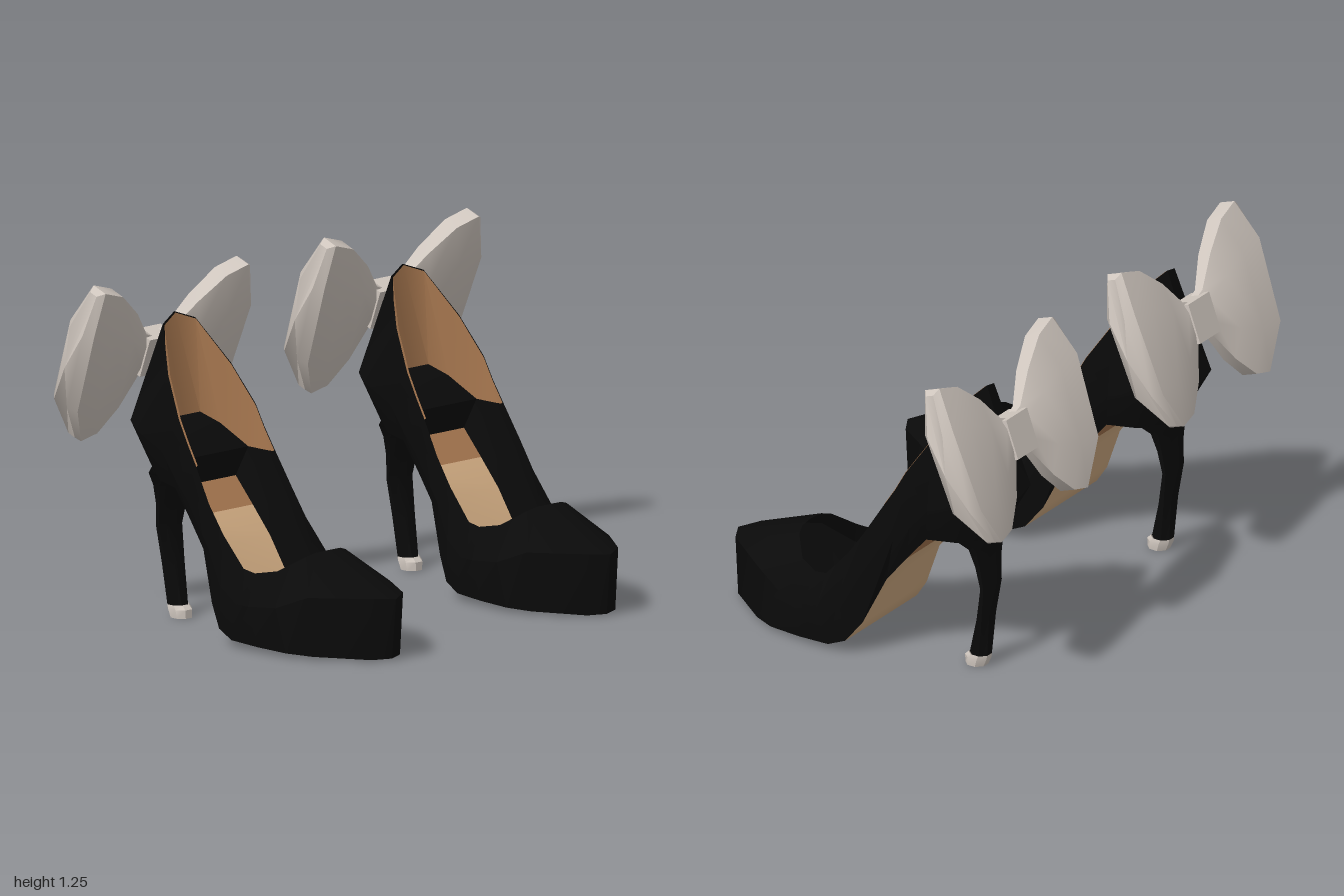
import * as THREE from 'three';
import { toCreasedNormals } from 'three/addons/utils/BufferGeometryUtils.js';

const mat = (name, color) =>
  Object.assign(new THREE.MeshStandardMaterial({ color, side: THREE.DoubleSide }), { name });

// Grid of quads through rows of [x, y, z] points
function loft(rows, closed = false) {
  const n = rows[0].length, index = [];
  for (let r = 0; r < rows.length - 1; r++) {
    for (let i = 0; i < (closed ? n : n - 1); i++) {
      const a = r * n + i, b = r * n + (i + 1) % n;
      index.push(a, b, b + n, a, b + n, a + n);
    }
  }
  const g = new THREE.BufferGeometry();
  g.setAttribute('position', new THREE.Float32BufferAttribute(rows.flat(2), 3));
  g.setIndex(index);
  return toCreasedNormals(g, 0.6);
}

const flip = ([x, y, z]) => [-x, y, z];
const across = p => [flip(p), p];
// Half outline from heel to toe becomes a full ring / an open band
const ring = half => [...half, ...half.slice(1, -1).reverse().map(flip)];
const band = half => [...half.slice(1).reverse().map(flip), ...half];

// Upper: topline, widest line and sole edge, from back of heel to toe
const top = [
  [0, 1.11, -0.41], [0.08, 1.08, -0.385], [0.155, 0.92, -0.28], [0.19, 0.78, -0.19],
  [0.192, 0.7, -0.145], [0.195, 0.63, -0.1], [0.205, 0.5, -0.02], [0.205, 0.4, 0.05],
  [0.205, 0.29, 0.15], [0.2, 0.28, 0.2], [0.17, 0.295, 0.28], [0.1, 0.345, 0.345],
  [0.06, 0.358, 0.36], [0, 0.36, 0.365]];
const mid = [
  [0, 0.71, -0.555], [0.1, 0.71, -0.53], [0.17, 0.7, -0.43], [0.19, 0.65, -0.28],
  [0.195, 0.57, -0.21], [0.2, 0.5, -0.14], [0.22, 0.33, 0], [0.24, 0.22, 0.07],
  [0.255, 0.17, 0.16], [0.255, 0.17, 0.22], [0.24, 0.18, 0.34], [0.205, 0.23, 0.46],
  [0.08, 0.235, 0.645], [0, 0.23, 0.69]];
const bottom = [
  [0, 0.53, -0.46], [0.07, 0.52, -0.43], [0.12, 0.52, -0.36], [0.15, 0.515, -0.25],
  [0.157, 0.42, -0.17], [0.165, 0.32, -0.09], [0.2, 0.14, -0.01], [0.225, 0.06, 0.05],
  [0.235, 0.03, 0.12], [0.24, 0.025, 0.25], [0.23, 0.02, 0.38], [0.19, 0.015, 0.47],
  [0.07, 0.01, 0.64], [0, 0.01, 0.67]];
const liningEdge = [
  [0, 0.74, -0.36], [0.08, 0.74, -0.36], [0.13, 0.7, -0.31],
  [0.183, 0.62, -0.22], [0.186, 0.62, -0.13], [0.19, 0.62, -0.1]];

// Eight-sided heel section
function heelRing([y, front, back, hx]) {
  const pts = [];
  for (let i = 0; i < 8; i++) {
    const a = (i + 0.5) * Math.PI / 4, k = Math.cos(Math.PI / 8);
    pts.push([hx * Math.cos(a) / k, y, (front + back) / 2 + (front - back) / 2 * Math.sin(a) / k]);
  }
  return pts;
}

// One bow loop: flat octagonal sections that flare away from the knot
function bowLobe(side) {
  const sections = [ // reach, upper height, lower height, half thickness
    [0.02, 0.07, 0.07, 0.035], [0.07, 0.085, 0.085, 0.035], [0.17, 0.19, 0.2, 0.055],
    [0.29, 0.28, 0.29, 0.065], [0.4, 0.31, 0.31, 0.065], [0.43, 0.295, 0.3, 0.035]];
  const octagon = [[1, 0.5], [0.5, 1], [-0.5, 1], [-1, 0.5], [-1, -0.5], [-0.5, -1], [0.5, -1], [1, -0.5]];
  const rows = sections.map(([x, up, down, t]) => octagon.map(([d, v]) => {
    const trim = x / 0.43 * v * v * (v > 0 ? 0.05 : 0.14);
    return [side * (x - trim), v * (v > 0 ? up : down), d * t];
  }));
  rows.push(octagon.map(() => [side * 0.425, 0, 0]));
  return loft(rows, true);
}

function makeShoe(side, m) {
  const shoe = new THREE.Group();
  shoe.name = side > 0 ? 'leftShoe' : 'rightShoe';
  shoe.position.x = side * 0.57;
  const add = (name, geometry, material, parent = shoe) => {
    const mesh = new THREE.Mesh(geometry, material);
    mesh.name = name;
    parent.add(mesh);
    return mesh;
  };
  // Toe leans slightly toward the other shoe
  const lean = geometry => {
    const p = geometry.attributes.position;
    for (let i = 0; i < p.count; i++) {
      p.setX(i, p.getX(i) - side * (0.005 + 0.05 * Math.max(0, p.getZ(i))));
    }
    return geometry;
  };

  add('upper', lean(loft([top, mid, bottom].map(ring), true)), m.black);

  // Inner heel lining and padded seat
  const inset = top.slice(0, 6).map(([x, y, z]) => [x * 0.97, y - 0.004, z + 0.006]);
  add('heelLining', lean(loft([band(inset), band(liningEdge)])), m.brown);
  const seat = [bottom[3], liningEdge[3], liningEdge[2], liningEdge[1]];
  add('heelSeat', lean(loft(seat.map(across))), m.black);
  add('heelSeatUnderside', lean(loft(bottom.slice(0, 4).map(across))), m.black);

  // Sole in three coloured zones
  const sole = (name, from, to, material) =>
    add(name, lean(loft(bottom.slice(from, to + 1).map(across))), material);
  sole('soleRear', 3, 4, m.brown);
  sole('soleShank', 4, 8, m.tan);
  sole('soleFront', 8, 13, m.brown);

  // Stiletto heel and tip
  add('heel', loft([
    [0.54, -0.27, -0.47, 0.12], [0.49, -0.37, -0.447, 0.085], [0.42, -0.395, -0.442, 0.068],
    [0.33, -0.415, -0.446, 0.058], [0.2, -0.385, -0.435, 0.046], [0.05, -0.35, -0.424, 0.036],
  ].map(heelRing), true), m.black);
  add('heelTip', loft([
    [0.05, -0.345, -0.424, 0.037], [0.035, -0.33, -0.422, 0.04], [0.004, -0.33, -0.408, 0.036],
  ].map(heelRing), true), m.grey);
  add('heelTipBase', loft([
    [0.004, -0.33, -0.408, 0.036], [0.004, -0.37, -0.37, 0],
  ].map(heelRing), true), m.tan);

  // Bow on the back of the heel
  const bow = new THREE.Group();
  bow.name = 'bow';
  bow.position.set(0, 0.95, -0.527);
  bow.rotation.x = 0.35;
  shoe.add(bow);
  add('bowLoopLeft', bowLobe(1), m.grey, bow);
  add('bowLoopRight', bowLobe(-1), m.grey, bow);
  add('bowKnot', new THREE.BoxGeometry(0.13, 0.15, 0.085), m.grey, bow);
  return shoe;
}

export function createModel() {
  const m = {
    black: mat('black', 0x0a0a0a),
    brown: mat('brown', 0xa87850),
    tan: mat('tan', 0xd4ae84),
    grey: mat('warmGrey', 0xcfc6be),
  };
  const model = new THREE.Group();
  model.name = 'bowHeels';
  model.add(makeShoe(1, m), makeShoe(-1, m));
  return model;
}
